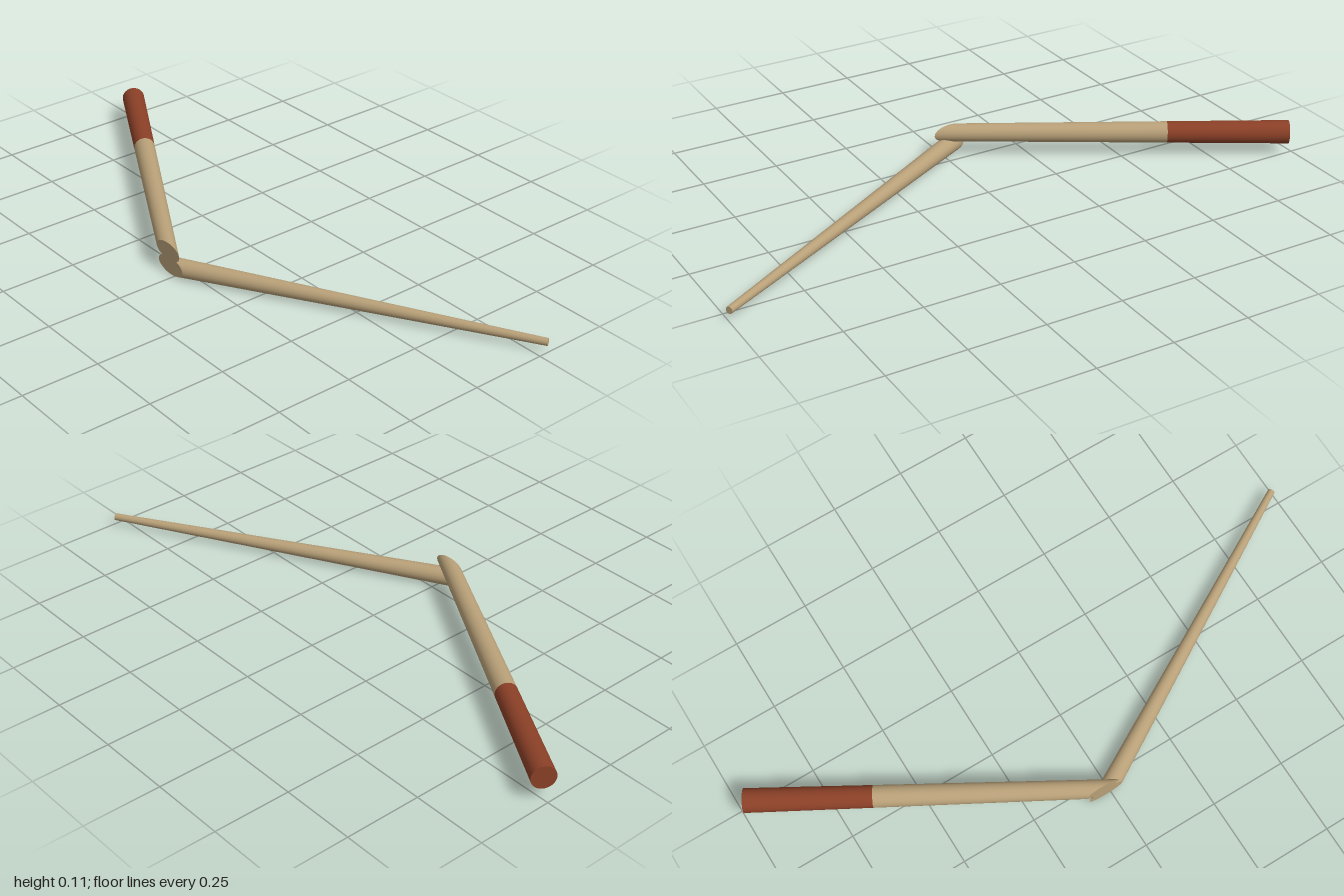
import * as THREE from 'three';

const CUT_X = -0.297; // flat mitre plane at the elbow
const UP = new THREE.Vector3(0, 1, 0);
const wood = new THREE.MeshStandardMaterial({ color: 0xb8a078 });
const wrap = new THREE.MeshStandardMaterial({ color: 0x8b4027 });

// Tapered round rod from a to b; mitred slides the start ring along the axis onto the cut plane
function rod(name, a, b, ra, rb, material, mitred) {
  const axis = b.clone().sub(a);
  const length = axis.length();
  axis.normalize();
  const geo = new THREE.CylinderGeometry(rb, ra, length, 40, 1);
  geo.translate(0, length / 2, 0);
  geo.applyQuaternion(new THREE.Quaternion().setFromUnitVectors(UP, axis));
  geo.translate(a.x, a.y, a.z);
  if (mitred) {
    const pos = geo.attributes.position, nor = geo.attributes.normal;
    const p = new THREE.Vector3(), n = new THREE.Vector3();
    for (let i = 0; i < pos.count; i++) {
      p.fromBufferAttribute(pos, i);
      if (p.clone().sub(a).dot(axis) > length / 2) continue;
      p.addScaledVector(axis, (CUT_X - p.x) / axis.x);
      pos.setXYZ(i, p.x, p.y, p.z);
      n.fromBufferAttribute(nor, i);
      if (n.dot(axis) < -0.9) nor.setXYZ(i, -1, 0, 0);
    }
  }
  const mesh = new THREE.Mesh(geo, material);
  mesh.name = name;
  return mesh;
}

export function createModel() {
  const group = new THREE.Group();
  group.name = 'bentStick';

  // Upper arm with its coloured grip
  const elbow = new THREE.Vector3(CUT_X, 0.077, -0.03);
  const end = new THREE.Vector3(0.251, 0.077, -0.981);
  const gripStart = elbow.clone().lerp(end, 0.64);
  group.add(rod('handleArm', elbow, gripStart, 0.029, 0.0348, wood, true));
  group.add(rod('grip', gripStart, end, 0.0348, 0.038, wrap, false));

  // Lower arm, tapering to a thin tip
  const base = new THREE.Vector3(CUT_X, 0.031, -0.018);
  const tip = new THREE.Vector3(0.287, 0.031, 0.994);
  group.add(rod('taperedArm', base, tip, 0.03, 0.0115, wood, true));

  return group;
}
